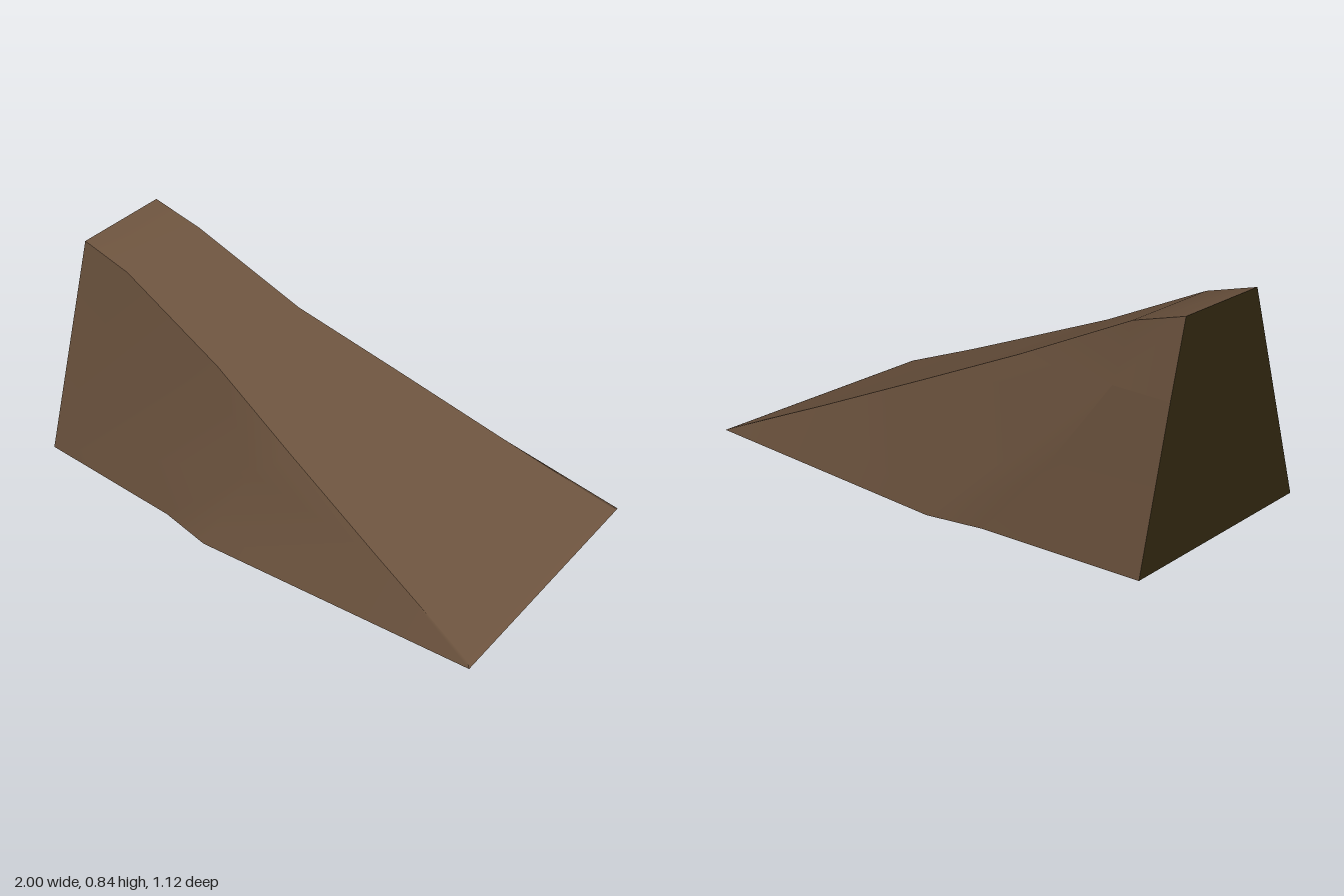
import * as THREE from 'three';

const brown = new THREE.MeshStandardMaterial({ color: 0x6c533e });
brown.name = 'earthBrown';
const dark = new THREE.MeshStandardMaterial({ color: 0x2e250f });
dark.name = 'darkOlive';

// A point inside the ramp: every face is turned away from it.
const core = new THREE.Vector3(-0.35, 0.25, 0);

// Named corners. T = deck edge, B = ground edge (front side, +z).
const T = [[-0.97, 0.84, 0.205], [-0.76, 0.78, 0.21], [-0.3, 0.56, 0.25], [0.1, 0.385, 0.335], [0.55, 0.19, 0.425], [0.98, 0.01, 0.51]];
const B = [[-1, 0, 0.455], [-0.36, 0, 0.51], [-0.14, 0, 0.56], [1, 0, 0.53]];
const points = {};
T.forEach(([x, y, z], i) => { points['T' + i] = [x, y, z]; points['t' + i] = [x, y, -z]; });
B.forEach(([x, y, z], i) => { points['B' + i] = [x, y, z]; points['b' + i] = [x, y, -z]; });
points.A = [-0.03, 0.28, 0.4];      // head of the front hollow
points.c = [-0.76, 0.58, -0.31];    // rear shoulder
points.d = [-0.53, 0.21, -0.43];    // rear hollow
points.e = [-0.979, 0.57, -0.287];  // shoulder at the tall end

// Smooth surface from polygons written as corner names.
function surface(name, material, faces) {
  const names = [...new Set(faces.flatMap((f) => f.split(' ')))];
  const index = [];
  for (const face of faces) {
    const ids = face.split(' ');
    for (let i = 1; i < ids.length - 1; i++) {
      const tri = [ids[0], ids[i], ids[i + 1]];
      const [p, q, r] = tri.map((n) => new THREE.Vector3(...points[n]));
      const normal = q.clone().sub(p).cross(r.clone().sub(p));
      if (normal.dot(p.sub(core)) < 0) tri.reverse();
      index.push(...tri.map((n) => names.indexOf(n)));
    }
  }
  const geometry = new THREE.BufferGeometry();
  geometry.setAttribute('position', new THREE.Float32BufferAttribute(names.flatMap((n) => points[n]), 3));
  geometry.setIndex(index);
  geometry.computeVertexNormals();
  const mesh = new THREE.Mesh(geometry, material);
  mesh.name = name;
  return mesh;
}

export function createModel() {
  const group = new THREE.Group();
  group.name = 'ramp';

  // Sloping deck, one strip per pair of edge corners
  const deck = [];
  for (let i = 0; i < T.length - 1; i++) deck.push(`T${i} T${i + 1} t${i + 1} t${i}`);
  group.add(surface('deck', brown, deck));

  // Thin lip at the low end
  group.add(surface('lowLip', brown, ['T5 B3 b3 t5']));

  // Front flank with a shallow hollow at the ground
  group.add(surface('frontFlank', brown, [
    'B0 T0 T1', 'B0 T1 T2', 'B0 T2 A', 'T2 T3 A', 'B0 A B1', 'B1 A B2',
    'A T3 T4', 'A T4 B2', 'B2 T4 B3', 'T4 T5 B3',
  ]));

  // Rear flank with a shoulder and an undercut
  group.add(surface('rearFlank', brown, [
    't0 t1 c e', 't1 t2 c', 't2 t3 c', 'c t3 b2', 't3 t4 b2', 'b2 t4 b3', 't4 t5 b3',
    'c b2 d', 'd b2 b1',
  ]));
  group.add(surface('rearUndercut', brown, ['e c d b0', 'd b1 b0']));

  // Flat underside
  group.add(surface('underside', brown, ['B0 B1 b1 b0', 'B1 B2 b2 b1', 'B2 B3 b3 b2']));

  // Steep tall end
  group.add(surface('tallEnd', dark, ['B0 T0 t0 e b0']));
  return group;
}
